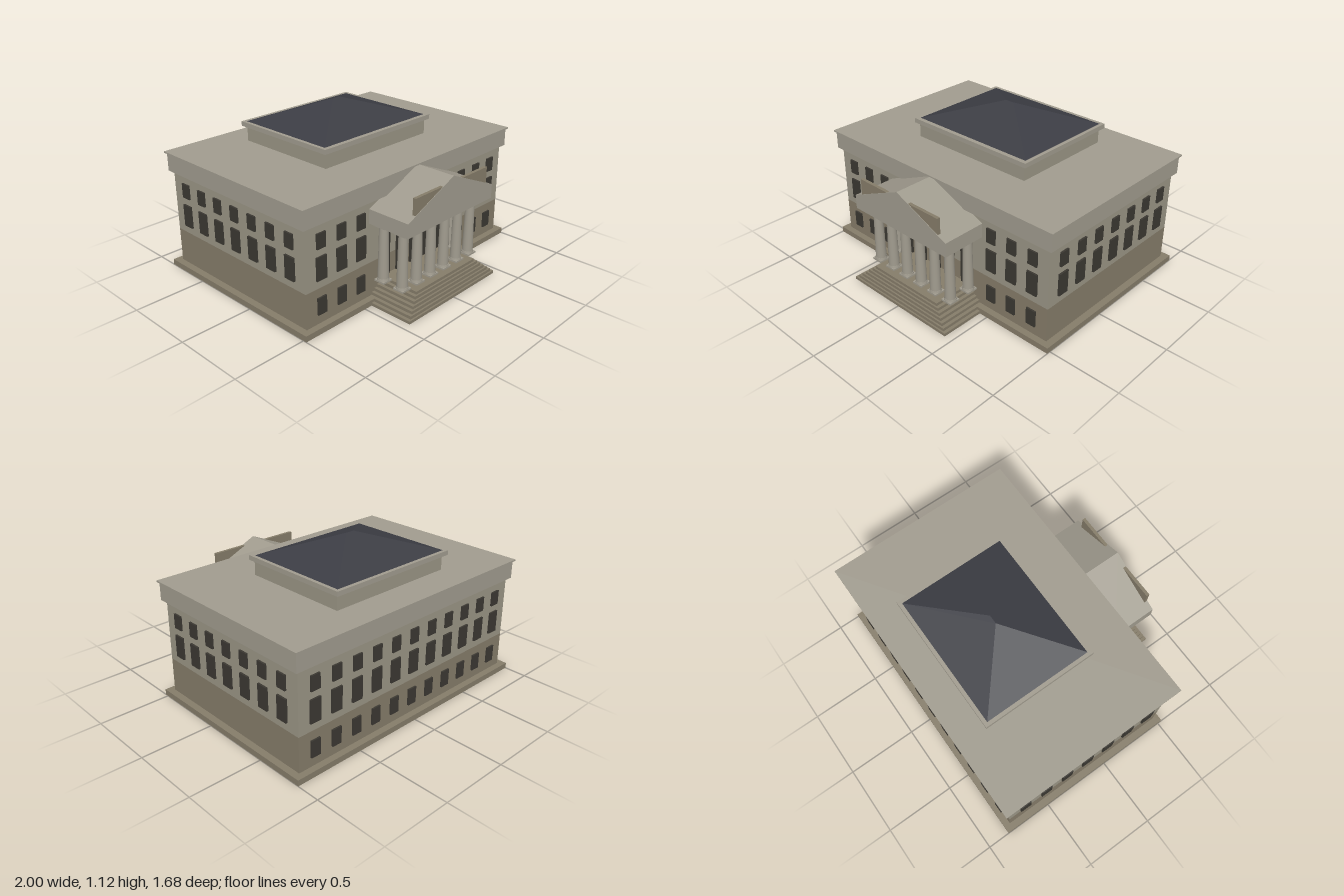
import * as THREE from 'three';

const mat = (color) => new THREE.MeshStandardMaterial({ color });
const wall = mat(0x9a9585), trim = mat(0xa09b8e), base = mat(0x857c69);
const glass = mat(0x3b3832), slate = mat(0x3c3d44);
slate.flatShading = true;

export function createModel() {
  const model = new THREE.Group();

  const add = (name, geometry, material, parent = model) => {
    const mesh = new THREE.Mesh(geometry, material);
    mesh.name = name;
    parent.add(mesh);
    return mesh;
  };
  // Box given by its limits on each axis
  const block = (name, material, [x0, x1], [y0, y1], [z0, z1], parent = model) => {
    const mesh = add(name, new THREE.BoxGeometry(x1 - x0, y1 - y0, z1 - z0), material, parent);
    mesh.position.set((x0 + x1) / 2, (y0 + y1) / 2, (z0 + z1) / 2);
    return mesh;
  };
  const wide = (w) => [-w, w];

  // Main building
  block('plinth', base, wide(1), [0, 0.04], [-0.84, 0.525]);
  block('lowerStorey', base, wide(0.953), [0.04, 0.28], [-0.795, 0.48]);
  block('upperStoreys', wall, wide(0.953), [0.28, 0.705], [-0.795, 0.48]);
  block('entablature', trim, wide(0.98), [0.705, 0.83], [-0.818, 0.505]);
  block('cornice', trim, wide(0.993), [0.83, 0.84], [-0.832, 0.518]);

  // Attic and hipped roof
  block('attic', wall, wide(0.475), [0.84, 0.945], [-0.602, 0.162]);
  block('atticCornice', trim, wide(0.5), [0.945, 0.977], [-0.63, 0.186]);
  const hip = new THREE.BoxGeometry(0.95, 0.143, 0.76).toNonIndexed();
  const p = hip.attributes.position;
  for (let i = 0; i < p.count; i++) {
    if (p.getY(i) > 0) {
      p.setX(i, Math.sign(p.getX(i)) * 0.032);
      p.setZ(i, Math.sign(p.getZ(i)) * 0.001);
    }
  }
  hip.computeVertexNormals();
  add('hippedRoof', hip, slate).position.set(0, 1.0485, -0.225);

  // Windows: width, bottom, top of each row
  const lowRow = [0.07, 0.105, 0.22];
  const midRow = [0.08, 0.335, 0.49];
  const topRow = [0.07, 0.542, 0.642];
  const windows = new THREE.Group();
  windows.name = 'windows';
  model.add(windows);
  for (let i = 0; i < 11; i++) {
    const x = -0.83 + i * 0.166;
    for (const [w, y0, y1] of [lowRow, midRow, topRow]) {
      const span = [x - w / 2, x + w / 2];
      block('backWindow', glass, span, [y0, y1], [-0.807, -0.785], windows);
      if (Math.abs(x) > 0.45) block('frontWindow', glass, span, [y0, y1], [0.47, 0.492], windows);
    }
  }
  for (let i = 0; i < 7; i++) {
    const z = 0.353 - i * 0.1695;
    for (const [w, y0, y1] of [midRow, topRow]) {
      for (const s of [-1, 1]) {
        const span = s > 0 ? [0.943, 0.966] : [-0.966, -0.943];
        block('sideWindow', glass, span, [y0, y1], [z - w / 2, z + w / 2], windows);
      }
    }
  }

  // Portico steps, narrowing on three sides
  for (let i = 0; i < 7; i++) {
    block('step', base, wide(0.44 - i * 0.0235), [i * 0.02, (i + 1) * 0.02], [0.47, 0.838 - i * 0.0115]);
  }

  // Columns: six in front, one behind each end
  const shaft = new THREE.CylinderGeometry(0.03, 0.037, 0.36, 16);
  const ring = new THREE.CylinderGeometry(0.038, 0.041, 0.015, 16);
  const column = (x, z) => {
    const group = new THREE.Group();
    group.name = 'column';
    group.position.set(x, 0, z);
    model.add(group);
    block('columnFoot', trim, wide(0.04), [0.14, 0.152], wide(0.04), group);
    add('columnRing', ring, trim, group).position.y = 0.159;
    add('columnShaft', shaft, trim, group).position.y = 0.342;
    block('capital', trim, wide(0.04), [0.522, 0.553], wide(0.04), group);
  };
  for (let i = 0; i < 6; i++) column(-0.3375 + i * 0.135, 0.685);
  for (const s of [-1, 1]) column(s * 0.3375, 0.527);

  // Tall openings between the columns
  for (let i = -2; i <= 2; i++) {
    const x = i * 0.135;
    block('doorway', glass, [x - 0.034, x + 0.034], [0.14, 0.555], [0.47, 0.492]);
  }

  // Portico beam, gable and the panel rising behind its face
  block('porticoBeam', trim, wide(0.42), [0.553, 0.65], [0.47, 0.79]);
  const gable = new THREE.Shape([
    new THREE.Vector2(-0.42, 0.65),
    new THREE.Vector2(0.42, 0.65),
    new THREE.Vector2(0, 0.833),
  ]);
  add('gable', new THREE.ExtrudeGeometry(gable, { depth: 0.32, bevelEnabled: false }), trim).position.z = 0.47;
  block('gablePanel', base, wide(0.353), [0.66, 0.79], [0.765, 0.787]);

  return model;
}
